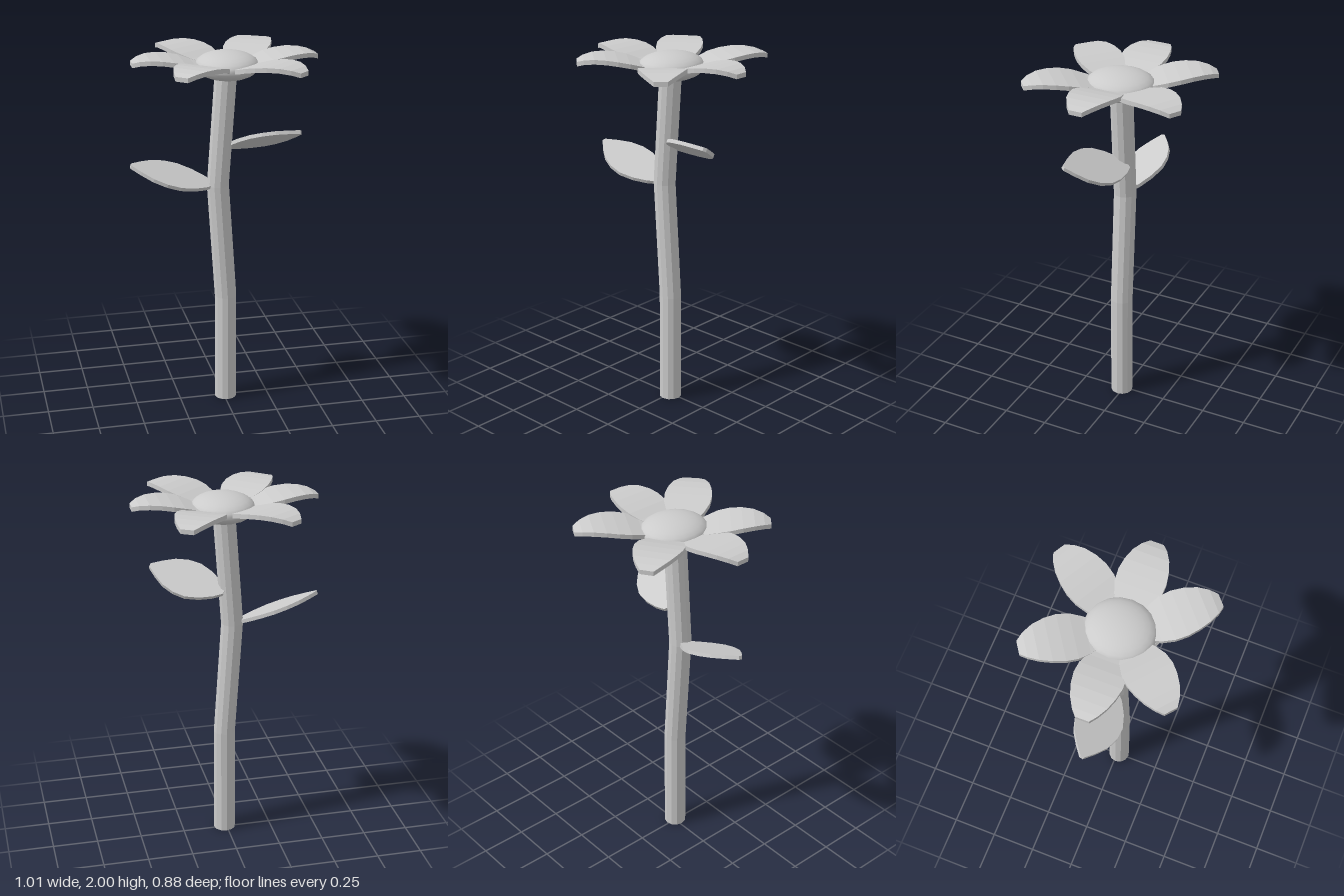
import * as THREE from 'three';

const material = new THREE.MeshStandardMaterial({ color: 0xcccccc, flatShading: true });
const smooth = new THREE.MeshStandardMaterial({ color: 0xcccccc });

// Thin slab lofted along +x from sections [x, half width, bottom height]
function bladeGeometry(sections, thickness) {
  const positions = [], index = [];
  sections.forEach(([x, w, y], i) => {
    positions.push(x, y + thickness, -w, x, y + thickness, w, x, y, w, x, y, -w);
    if (i === 0) return;
    const b = i * 4, a = b - 4;
    for (let j = 0; j < 4; j++) {
      const k = (j + 1) % 4;
      index.push(a + j, a + k, b + k, a + j, b + k, b + j);
    }
  });
  const e = (sections.length - 1) * 4;
  index.push(0, 2, 1, 0, 3, 2, e, e + 1, e + 2, e, e + 2, e + 3);
  const indexed = new THREE.BufferGeometry();
  indexed.setAttribute('position', new THREE.Float32BufferAttribute(positions, 3));
  indexed.setIndex(index);
  const geometry = indexed.toNonIndexed();
  geometry.computeVertexNormals();
  return geometry;
}

function addMesh(group, name, geometry, mat = material) {
  const mesh = new THREE.Mesh(geometry, mat);
  mesh.name = name;
  group.add(mesh);
  return mesh;
}

// Straight tube whose rings are slid onto a gently bent centre line
function stemGeometry() {
  const line = [[0.01, 0], [0.01, 0.62], [-0.033, 1.27], [0.012, 1.9]];
  const geometry = new THREE.CylinderGeometry(0.061, 0.061, 1, 12, line.length - 1);
  const p = geometry.attributes.position;
  for (let i = 0; i < p.count; i++) {
    const [x, y] = line[Math.round((p.getY(i) + 0.5) * (line.length - 1))];
    p.setXYZ(i, p.getX(i) + x, y, p.getZ(i) + 0.01);
  }
  geometry.computeVertexNormals();
  return geometry;
}

// Leaf laid from its base to its tip, with its width along side
function addLeaf(group, name, base, tip, side) {
  const start = new THREE.Vector3(...base);
  const along = new THREE.Vector3(...tip).sub(start);
  const length = along.length();
  along.normalize();
  const up = new THREE.Vector3(...side).cross(along).normalize();
  const across = along.clone().cross(up);
  const outline = [[0, 0.02], [0.1, 0.06], [0.25, 0.1], [0.42, 0.125], [0.58, 0.122],
    [0.74, 0.098], [0.88, 0.055], [1, 0.01]];
  const sections = outline.map(([t, w]) => [t * length, w, -0.01]);
  const leaf = addMesh(group, name, bladeGeometry(sections, 0.02));
  leaf.applyMatrix4(new THREE.Matrix4().makeBasis(along, up, across).setPosition(start));
}

export function createModel() {
  const model = new THREE.Group();
  model.name = 'flower';

  addMesh(model, 'stem', stemGeometry());

  // Domed flower centre
  const head = addMesh(model, 'flowerCentre', new THREE.SphereGeometry(1, 18, 14), smooth);
  head.scale.set(0.17, 0.075, 0.185);
  head.position.set(0.017, 1.925, 0.01);

  // Petals: rise from the centre, then droop at the blunt tip
  const petalSections = [[0.03, 0.02, 1.905], [0.1, 0.065, 1.91], [0.16, 0.1, 1.925],
    [0.22, 0.121, 1.944], [0.28, 0.125, 1.957], [0.34, 0.115, 1.965], [0.4, 0.095, 1.966],
    [0.45, 0.066, 1.958], [0.485, 0.035, 1.944]];
  const petals = new THREE.Group();
  petals.name = 'petals';
  model.add(petals);
  const petalGeometry = bladeGeometry(petalSections, 0.024);
  // Angle in degrees, root x, root z, length factor
  const layout = [[0, 0.015, 0.015, 1], [61, 0.043, 0.026, 1.06], [124, 0.017, 0.01, 1.04],
    [180, -0.005, 0.015, 1], [230, 0.017, 0.015, 1.01], [-49, -0.01, 0.03, 1.05]];
  for (const [angle, x, z, stretch] of layout) {
    const petal = addMesh(petals, 'petal', petalGeometry);
    petal.rotation.y = THREE.MathUtils.degToRad(angle);
    petal.position.set(x, 0, z);
    petal.scale.x = stretch;
  }

  // Two leaves on opposite sides of the stem
  addLeaf(model, 'rightLeaf', [-0.06, 1.27, 0.01], [-0.505, 1.405, 0.005], [0, 0.07, -0.25]);
  addLeaf(model, 'leftLeaf', [0.02, 1.465, -0.03], [0.385, 1.577, 0.155], [-0.225, 0.18, 0.32]);

  return model;
}
